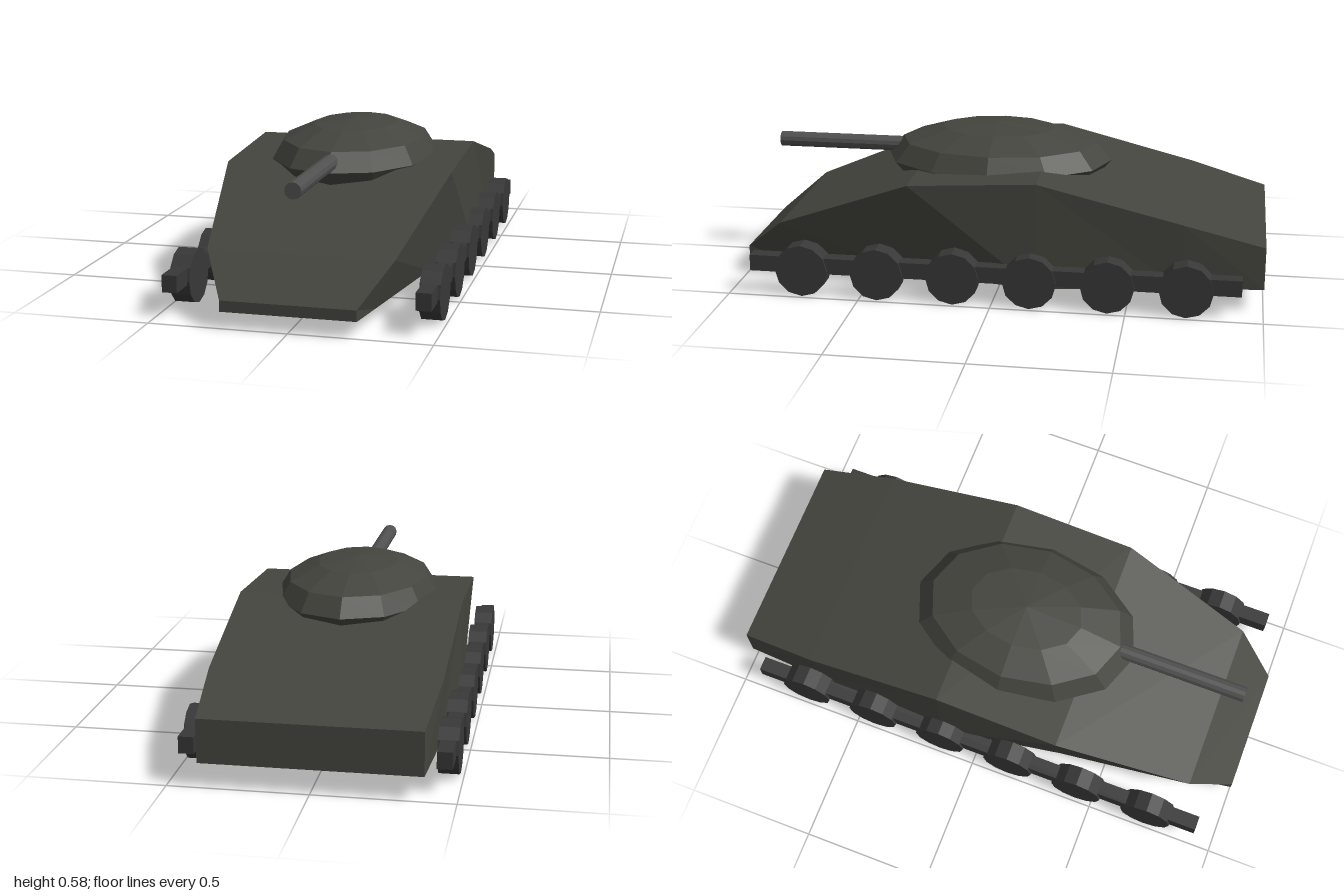
import * as THREE from 'three';

const paint = (color) => new THREE.MeshStandardMaterial({ color, flatShading: true, side: THREE.DoubleSide });

// Hull skinned over four-cornered cross-sections, front to back
function hullGeometry() {
  // z, top half-width, top y, bottom half-width, bottom y
  const sections = [
    [1, 0.24, 0.1, 0.24, 0.06],
    [0.84, 0.335, 0.235, 0.266, 0.06],
    [0.32, 0.43, 0.437, 0.351, 0.06],
    [-0.16, 0.43, 0.465, 0.43, 0.06],
    [-0.7, 0.418, 0.332, 0.404, 0.08],
    [-1, 0.39, 0.25, 0.39, 0.09],
  ];
  const positions = [];
  for (const [z, tw, ty, bw, by] of sections) {
    positions.push(tw, ty, z, -tw, ty, z, -bw, by, z, bw, by, z);
  }
  const index = [0, 1, 2, 0, 2, 3];
  for (let i = 0; i < sections.length - 1; i++) {
    for (let k = 0; k < 4; k++) {
      const a = i * 4 + k, b = i * 4 + (k + 1) % 4, c = a + 4, d = b + 4;
      // the two flanks mirror each other's diagonal
      if (k === 3) index.push(a, c, b, b, c, d);
      else index.push(a, c, d, a, d, b);
    }
  }
  const r = (sections.length - 1) * 4;
  index.push(r, r + 2, r + 1, r, r + 3, r + 2);
  const indexed = new THREE.BufferGeometry();
  indexed.setAttribute('position', new THREE.Float32BufferAttribute(positions, 3));
  indexed.setIndex(index);
  const geometry = indexed.toNonIndexed();
  geometry.computeVertexNormals();
  return geometry;
}

export function createModel() {
  const group = new THREE.Group();
  const body = paint(0x45453f), running = paint(0x383838), steel = paint(0x505050);
  const add = (name, geometry, material, x, y, z, parent = group) => {
    const mesh = new THREE.Mesh(geometry, material);
    mesh.name = name;
    mesh.position.set(x, y, z);
    parent.add(mesh);
    return mesh;
  };

  add('hull', hullGeometry(), body, 0, 0, 0);

  // Faceted, flattened dome turret
  const dome = new THREE.SphereGeometry(1, 12, 6).scale(0.314, 0.137, 0.44);
  add('turret', dome, body, 0, 0.443, 0.04);

  // Gun barrel
  const barrel = new THREE.CylinderGeometry(0.03, 0.03, 0.62, 12).rotateX(Math.PI / 2);
  add('gunBarrel', barrel, steel, 0, 0.475, 0.61);

  // Running gear on both sides
  const wheel = new THREE.CylinderGeometry(0.1, 0.1, 0.074, 12).rotateZ(Math.PI / 2);
  const rail = new THREE.BoxGeometry(0.055, 0.062, 1.84);
  for (const side of [-1, 1]) {
    const gear = new THREE.Group();
    gear.name = side > 0 ? 'leftRunningGear' : 'rightRunningGear';
    group.add(gear);
    add('trackRail', rail, running, side * 0.449, 0.12, 0, gear);
    for (let i = 0; i < 6; i++) {
      add('roadWheel', wheel, running, side * 0.449, 0.1, 0.72 - i * 0.288, gear);
    }
  }
  return group;
}
